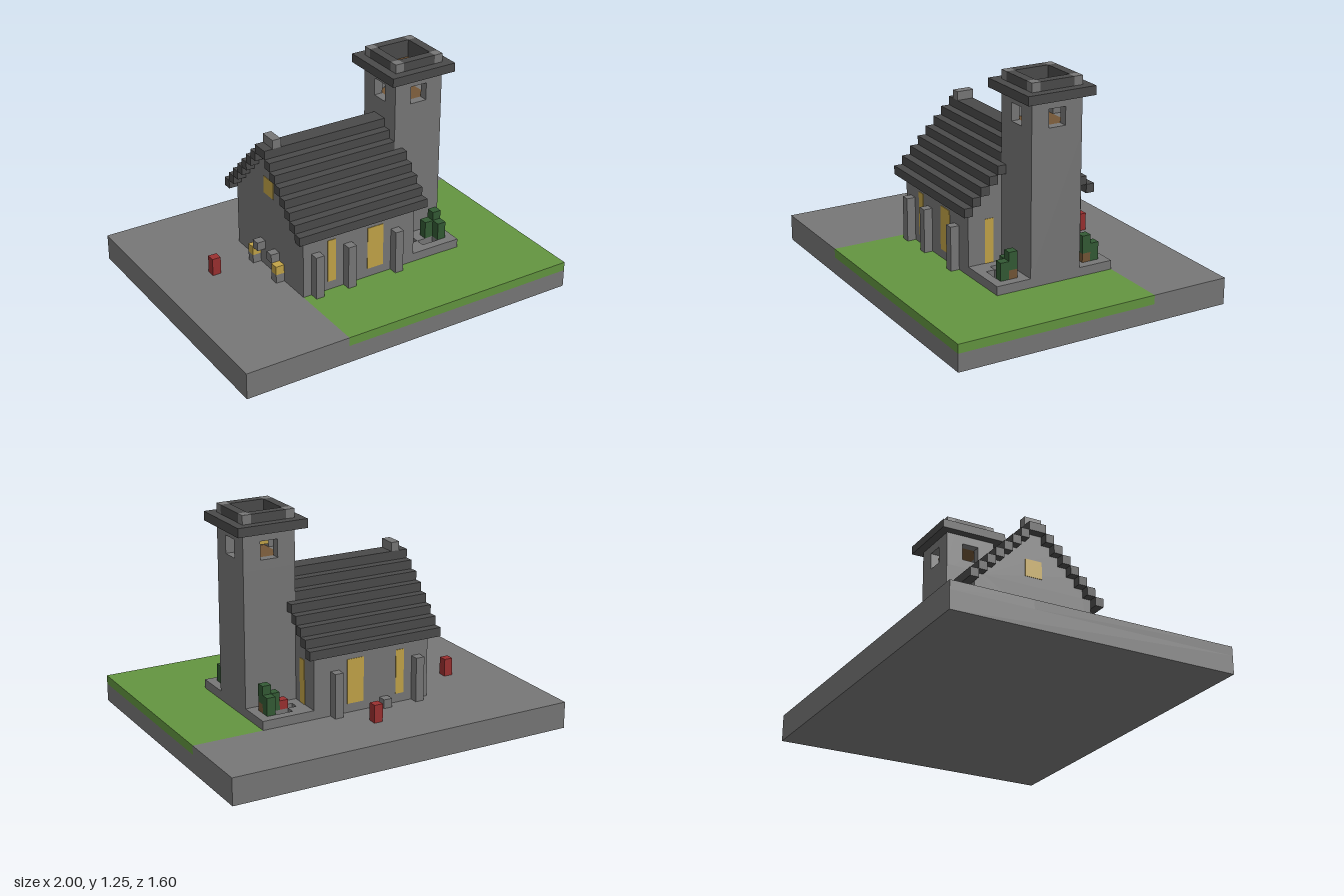
import * as THREE from 'three';

const mat = (name, color) => {
  const m = new THREE.MeshStandardMaterial({ color });
  m.name = name;
  return m;
};

// Rectangle outline, optionally with rectangular holes; each is [u0, u1, v0, v1]
const ring = ([a, b, c, d], Type = THREE.Shape) => {
  const s = new Type();
  s.moveTo(a, c); s.lineTo(b, c); s.lineTo(b, d); s.lineTo(a, d); s.closePath();
  return s;
};
const panel = (outer, holes, depth) => {
  const s = ring(outer);
  holes.forEach(h => s.holes.push(ring(h, THREE.Path)));
  return new THREE.ExtrudeGeometry(s, { depth, bevelEnabled: false });
};

export function createModel() {
  const model = new THREE.Group();
  model.name = 'stoneChapel';
  const stone = mat('stone grey', 0x777777);
  const slate = mat('slate dark grey', 0x4a4a4a);
  const grass = mat('grass green', 0x639540);
  const leaf = mat('leaf dark green', 0x335a34);
  const gold = mat('window gold', 0xc2a448);
  const red = mat('red', 0x9a3030);
  const wood = mat('wood brown', 0x735636);

  const add = (name, geo, material) => {
    const m = new THREE.Mesh(geo, material);
    m.name = name;
    model.add(m);
    return m;
  };
  // Box given by its limits on each axis
  const box = (name, material, x0, x1, y0, y1, z0, z1) => {
    const m = add(name, new THREE.BoxGeometry(x1 - x0, y1 - y0, z1 - z0), material);
    m.position.set((x0 + x1) / 2, (y0 + y1) / 2, (z0 + z1) / 2);
    return m;
  };
  // Horizontal slab with holes; limits are [x0, x1, z0, z1]
  const slab = (name, material, outer, holes, y0, y1) => {
    const g = panel(outer, holes, y1 - y0);
    g.rotateX(Math.PI / 2);
    add(name, g, material).position.y = y1;
  };

  // Ground: stone base with a lawn let into its corner
  box('base', stone, -1, 1, 0, 0.1, -0.8, 0.8);
  box('backPaving', stone, -1, 1, 0.1, 0.15, -0.8, -0.35);
  box('sidePaving', stone, -1, -0.4, 0.1, 0.15, -0.35, 0.8);
  box('lawn', grass, -0.4, 1, 0.1, 0.15, -0.35, 0.8);

  // Nave with stepped gables
  const nave = new THREE.Shape();
  nave.moveTo(-0.35, 0.15);
  nave.lineTo(0.35, 0.15);
  for (let i = 0; i < 7; i++) {
    nave.lineTo(0.35 - i * 0.05, 0.55 + i * 0.05);
    nave.lineTo(0.3 - i * 0.05, 0.55 + i * 0.05);
  }
  for (let i = 6; i >= 0; i--) {
    nave.lineTo(-0.3 + i * 0.05, 0.55 + i * 0.05);
    nave.lineTo(-0.35 + i * 0.05, 0.55 + i * 0.05);
  }
  const naveGeo = new THREE.ExtrudeGeometry(nave, { depth: 0.7, bevelEnabled: false });
  naveGeo.rotateY(Math.PI / 2);
  add('nave', naveGeo, stone).position.x = -0.4;

  // Stepped roof courses, the upper ones stopping at the tower
  for (let i = 0; i < 8; i++) {
    const z = 0.35 - i * 0.05, y = 0.5 + i * 0.05, end = i < 5 ? 0.35 : 0.3;
    box('roofCourse', slate, -0.45, end, y, y + 0.05, z, z + 0.05);
    box('roofCourse', slate, -0.45, end, y, y + 0.05, -z - 0.05, -z);
  }
  box('ridgeStone', stone, -0.4, -0.35, 0.9, 0.95, -0.05, 0.05);

  // Windows and buttresses on both long sides
  const t = 0.003;
  for (const s of [-1, 1]) {
    const zSpan = (a, b) => (s > 0 ? [a, b] : [-b, -a]);
    for (const [x0, x1] of [[-0.25, -0.2], [0, 0.1]])
      box('naveWindow', gold, x0, x1, 0.2, 0.45, ...zSpan(0.35 - t, 0.35 + t));
    for (const x of [-0.35, -0.15, 0.15]) {
      const top = s < 0 && x === -0.15 ? 0.2 : 0.4; // one is a broken stub
      box('buttress', stone, x, x + 0.05, 0.15, top, ...zSpan(0.35, 0.4));
    }
    box('endWindow', gold, 0.3 - t, 0.3 + t, 0.2, 0.45, ...zSpan(0.2, 0.25));

    // Door surround with a lantern on each side
    box('lanternFoot', stone, -0.45, -0.4, 0.15, 0.2, ...zSpan(0.1, 0.15));
    box('lantern', gold, -0.45, -0.4, 0.2, 0.25, ...zSpan(0.1, 0.15));
    box('doorArchStone', stone, -0.45, -0.4, 0.25, 0.3, ...zSpan(0.05, 0.1));

    // Shrubs in the planting beds beside the tower
    box('shrubTrunk', wood, 0.5, 0.55, 0.2, 0.25, ...zSpan(0.2, 0.25));
    box('shrubCrown', leaf, 0.5, 0.55, 0.25, 0.35, ...zSpan(0.2, 0.25));
    box('shrubInner', leaf, 0.45, 0.5, 0.2, 0.3, ...zSpan(0.2, 0.25));
    box('shrubOuter', leaf, 0.5, 0.55, 0.2, 0.3, ...zSpan(0.25, 0.3));
    box('soil', wood, 0.35, 0.4, 0.15, 0.155, ...zSpan(0.2, 0.25));
  }
  box('gableWindow', gold, -0.4 - t, -0.4 + t, 0.6, 0.7, -0.05, 0.05);
  box('backSoil', wood, 0.4, 0.5, 0.15, 0.155, -0.3, -0.25);
  box('flower', red, 0.4, 0.45, 0.2, 0.25, -0.25, -0.2);

  // Plinth with open planting beds
  slab('plinth', stone, [0.3, 0.6, -0.35, 0.35], [
    [0.4, 0.5, 0.25, 0.3], [0.4, 0.5, -0.3, -0.25],
    [0.35, 0.398, 0.2, 0.248], [0.35, 0.398, -0.248, -0.2],
  ], 0.15, 0.2);

  // Tower with an open bell chamber
  box('towerShaft', stone, 0.3, 0.6, 0.2, 0.95, -0.15, 0.15);
  const opening = [-0.05, 0.05, 1, 1.1];
  for (const z of [-0.15, 0.1])
    add('belfryWall', panel([-0.15, 0.15, 0.95, 1.15], [opening], 0.05), stone).position.set(0.45, 0, z);
  for (const x of [0.3, 0.55]) {
    const g = panel([-0.1, 0.1, 0.95, 1.15], [opening], 0.05);
    g.rotateY(Math.PI / 2);
    add('belfryWall', g, stone).position.x = x;
  }
  box('belfryFloor', wood, 0.35, 0.55, 0.95, 1, -0.1, 0.1);
  box('belfryCeiling', wood, 0.35, 0.55, 1.1, 1.15, -0.1, 0.1);
  box('bell', gold, 0.4, 0.45, 1.05, 1.1, -0.05, 0);

  // Tower cornice and parapet
  slab('cornice', slate, [0.25, 0.65, -0.2, 0.2], [[0.35, 0.55, -0.1, 0.1]], 1.15, 1.2);
  for (const s of [-1, 1]) {
    const z = s * 0.125, x = 0.45 + s * 0.125;
    box('parapet', slate, 0.35, 0.55, 1.2, 1.25, z - 0.025, z + 0.025);
    box('parapet', slate, x - 0.025, x + 0.025, 1.2, 1.25, -0.1, 0.1);
    for (const c of [-0.125, 0.125])
      box('parapetCorner', stone, x - 0.025, x + 0.025, 1.2, 1.25, c - 0.025, c + 0.025);
  }

  // Red posts on the paving
  box('redPost', red, -0.7, -0.65, 0.15, 0.25, -0.15, -0.1);
  box('redPost', red, 0, 0.05, 0.15, 0.25, -0.55, -0.5);

  return model;
}
